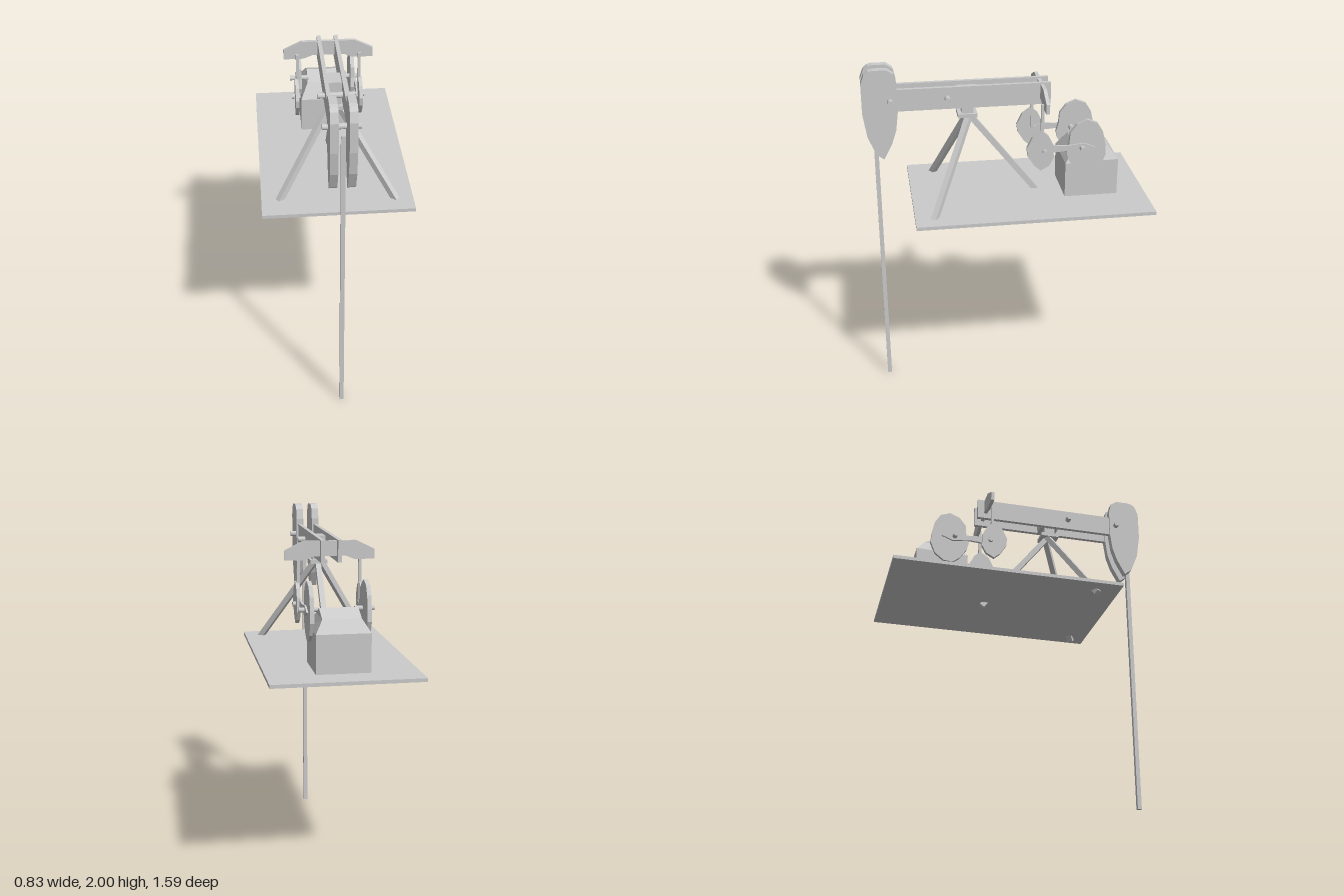
import * as THREE from 'three';

const material = new THREE.MeshStandardMaterial({ color: 0xcccccc, flatShading: true });

export function createModel() {
  const model = new THREE.Group();
  model.name = 'pumpJack';

  const add = (name, geometry, x = 0, y = 0, z = 0, parent = model) => {
    const mesh = new THREE.Mesh(geometry, material);
    mesh.name = name;
    mesh.position.set(x, y, z);
    parent.add(mesh);
    return mesh;
  };
  // Box given by its min/max extents on each axis
  const box = (name, [x0, x1], [y0, y1], [z0, z1], parent) =>
    add(name, new THREE.BoxGeometry(x1 - x0, y1 - y0, z1 - z0),
      (x0 + x1) / 2, (y0 + y1) / 2, (z0 + z1) / 2, parent);
  // Round pin lying along x
  const pin = (name, x0, x1, y, z, r = 0.016, parent = model) =>
    add(name, new THREE.CylinderGeometry(r, r, x1 - x0, 12).rotateZ(Math.PI / 2), (x0 + x1) / 2, y, z, parent);
  // Side profile of [z, y] points, extruded along x
  const plate = (name, points, x0, x1, parent = model) => {
    const shape = new THREE.Shape(points.map(([z, y]) => new THREE.Vector2(-z, y)));
    const geometry = new THREE.ExtrudeGeometry(shape, { depth: x1 - x0, bevelEnabled: false });
    return add(name, geometry.rotateY(Math.PI / 2), x0, 0, 0, parent);
  };
  // Square bar between two points
  const bar = (name, from, to, size) => {
    const a = new THREE.Vector3(...from), b = new THREE.Vector3(...to);
    const mesh = add(name, new THREE.BoxGeometry(size, size, a.distanceTo(b)));
    mesh.position.copy(a).add(b).multiplyScalar(0.5);
    mesh.lookAt(b);
    return mesh;
  };

  // Ground plate and well rod
  box('basePlate', [-0.417, 0.417], [1.2, 1.22], [-0.795, 0.545]);
  box('wellRod', [-0.012, 0.012], [0, 1.82], [0.718, 0.742]);

  // Twin walking beams with the split head
  const headProfile = [
    [0.753, 1.995], [0.73, 2], [0.653, 2], [0.617, 1.975], [0.602, 1.915], [0.602, 1.755],
    [0.615, 1.65], [0.642, 1.57], [0.69, 1.48], [0.732, 1.512], [0.775, 1.618],
    [0.796, 1.755], [0.796, 1.925], [0.776, 1.978],
  ];
  for (const x of [-0.05, 0.046]) {
    plate('head', headProfile, x - 0.021, x + 0.021);
    box('walkingBeam', [x - 0.011, x + 0.011], [1.757, 1.882], [-0.25, 0.62]);
  }
  pin('headPin', -0.1, 0.1, 1.82, 0.642);
  pin('beamPin', -0.1, 0.1, 1.82, 0.328);

  // Pivot saddle between the beams
  box('saddleBlock', [-0.038, 0.036], [1.757, 1.86], [0.155, 0.267]);
  box('saddleNeck', [-0.036, 0.036], [1.71, 1.76], [0.182, 0.248]);
  box('saddleFlange', [-0.05, 0.05], [1.695, 1.717], [0.16, 0.27]);

  // Tripod
  bar('frontLegLeft', [0.02, 1.7, 0.205], [0.342, 1.178, 0.455], 0.032);
  bar('frontLegRight', [-0.02, 1.7, 0.205], [-0.338, 1.178, 0.412], 0.032);
  bar('rearLeg', [0, 1.7, 0.205], [0, 1.178, -0.205], 0.032);

  // Equalizer crossbar with drooping ends
  const half = [[0.15, 1.875], [0.253, 1.825], [0.253, 1.77], [0.14, 1.77], [0.09, 1.79]];
  const outline = [...half, ...half.slice().reverse().map(([x, y]) => [-x, y])];
  const equalizer = new THREE.Shape(outline.map(p => new THREE.Vector2(...p)));
  add('equalizer', new THREE.ExtrudeGeometry(equalizer, { depth: 0.02, bevelEnabled: false }), 0, 0, -0.21);

  // Gearbox: sections by height, pinched to a low ridge
  const rings = [
    [[0.15, 1.22, -0.325], [0.15, 1.22, -0.63]],
    [[0.15, 1.425, -0.325], [0.15, 1.435, -0.63]],
    [[0.107, 1.51, -0.385], [0.107, 1.505, -0.578]],
    [[0.107, 1.55, -0.475], [0.107, 1.55, -0.475]],
  ].map(([[fx, fy, fz], [bx, by, bz]]) => [[-fx, fy, fz], [fx, fy, fz], [bx, by, bz], [-bx, by, bz]]);
  const corners = [];
  const quad = (a, b, c, d) => corners.push(...a, ...b, ...c, ...a, ...c, ...d);
  for (let r = 0; r < rings.length - 1; r++) {
    for (let i = 0; i < 4; i++) {
      const j = (i + 1) % 4;
      quad(rings[r][i], rings[r][j], rings[r + 1][j], rings[r + 1][i]);
    }
  }
  const gearbox = new THREE.BufferGeometry();
  gearbox.setAttribute('position', new THREE.Float32BufferAttribute(corners, 3));
  gearbox.computeVertexNormals();
  add('gearbox', gearbox);

  // Cranks, counterweights and pitman rods on both sides
  const bigWeight = [
    [-0.44, 1.692], [-0.498, 1.67], [-0.53, 1.618], [-0.546, 1.545], [-0.552, 1.48], [-0.525, 1.41],
    [-0.472, 1.368], [-0.42, 1.363], [-0.377, 1.395], [-0.335, 1.459], [-0.324, 1.5],
    [-0.34, 1.555], [-0.345, 1.618], [-0.382, 1.666],
  ];
  const smallWeight = [
    [-0.18, 1.65], [-0.217, 1.618], [-0.244, 1.565], [-0.249, 1.486], [-0.223, 1.438], [-0.175, 1.411],
    [-0.138, 1.443], [-0.101, 1.501], [-0.095, 1.549], [-0.127, 1.613],
  ];
  const crankArm = [
    [-0.17, 1.528], [-0.245, 1.553], [-0.32, 1.545], [-0.424, 1.556], [-0.488, 1.528],
    [-0.424, 1.502], [-0.32, 1.515], [-0.245, 1.51],
  ];
  for (const side of [-1, 1]) {
    const crank = new THREE.Group();
    crank.name = side > 0 ? 'crankLeft' : 'crankRight';
    model.add(crank);
    const span = (a, b) => (side > 0 ? [a, b] : [-b, -a]);
    plate('counterweight', bigWeight, ...span(0.144, 0.167), crank);
    plate('crankArm', crankArm, ...span(0.164, 0.177), crank);
    plate('pitmanWeight', smallWeight, ...span(0.172, 0.192), crank);
    box('pitmanRod', span(0.167, 0.184), [1.52, 1.8], [-0.192, -0.175], crank);
    pin('crankShaft', ...span(0.1, 0.21), 1.53, -0.411, 0.014, crank);
    pin('wristPin', ...span(0.16, 0.21), 1.525, -0.197, 0.014, crank);
  }
  return model;
}
